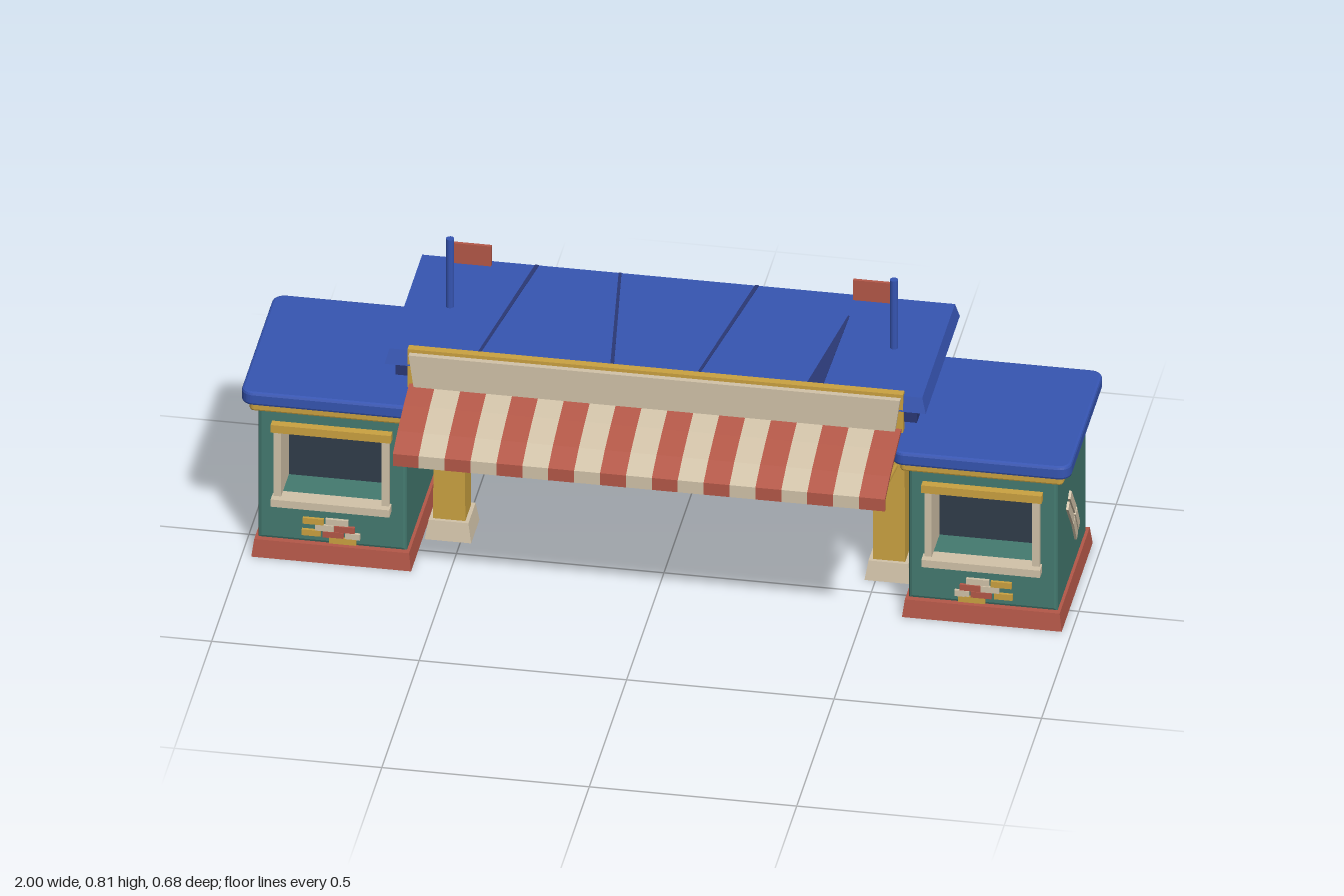
import * as THREE from 'three';

const mat = (name, color) => {
  const m = new THREE.MeshStandardMaterial({ color });
  m.name = name;
  return m;
};

export function createModel() {
  const blue = mat('roof blue', 0x3655b2);
  const navy = mat('dark navy', 0x2a3875);
  const teal = mat('teal wall', 0x447a70);
  const red = mat('brick red', 0xb45848);
  const gold = mat('ochre yellow', 0xcba241);
  const cream = mat('cream', 0xd2c3a9);
  const slate = mat('slate', 0x303d4a);

  const root = new THREE.Group();
  root.name = 'entranceGate';
  const add = (parent, name, geo, material, x = 0, y = 0, z = 0) => {
    const m = new THREE.Mesh(geo, material);
    m.name = name;
    m.position.set(x, y, z);
    parent.add(m);
    return m;
  };
  // box given by its limits
  const box = (parent, name, material, x0, x1, y0, y1, z0, z1) =>
    add(parent, name, new THREE.BoxGeometry(x1 - x0, y1 - y0, z1 - z0), material,
      (x0 + x1) / 2, (y0 + y1) / 2, (z0 + z1) / 2);
  // box whose top is narrower (or wider) by t on every side
  const taper = (w, h, d, tx, tz = tx) => {
    const g = new THREE.BoxGeometry(w, h, d);
    const p = g.attributes.position;
    for (let i = 0; i < p.count; i++) {
      if (p.getY(i) > 0) {
        p.setX(i, p.getX(i) - Math.sign(p.getX(i)) * tx);
        p.setZ(i, p.getZ(i) - Math.sign(p.getZ(i)) * tz);
      }
    }
    g.computeVertexNormals();
    return g;
  };
  // slab with rounded plan corners and soft rims
  const slab = (w, h, d, r, b) => {
    const s = new THREE.Shape();
    const x = w / 2, y = d / 2;
    s.absarc(x - r, y - r, r, 0, Math.PI / 2);
    s.absarc(-x + r, y - r, r, Math.PI / 2, Math.PI);
    s.absarc(-x + r, -y + r, r, Math.PI, Math.PI * 1.5);
    s.absarc(x - r, -y + r, r, Math.PI * 1.5, Math.PI * 2);
    const g = new THREE.ExtrudeGeometry(s, { depth: h - 2 * b, bevelSize: b, bevelThickness: b,
      bevelOffset: -b, bevelSegments: 2, curveSegments: 4 });
    return g.translate(0, 0, b - h / 2).rotateX(-Math.PI / 2);
  };
  const rectPoints = (x0, x1, y0, y1) => [[x0, y0], [x1, y0], [x1, y1], [x0, y1]]
    .map(([x, y]) => new THREE.Vector2(x, y));

  const midZ = -0.108;

  // ---- ticket booths, local x = 0 and z = 0 at the middle of each ----
  for (const side of [-1, 1]) {
    const booth = new THREE.Group();
    booth.name = side > 0 ? 'leftBooth' : 'rightBooth';
    booth.position.set(side * 0.784, 0, midZ);
    root.add(booth);

    add(booth, 'boothBase', taper(0.385, 0.046, 0.416, 0.006), red, 0, 0.023, 0);

    // walls with a window tunnel from front to back
    const wall = new THREE.Shape(rectPoints(-0.179, 0.179, 0.046, 0.412));
    wall.holes.push(new THREE.Path(rectPoints(-0.128, 0.128, 0.165, 0.352).reverse()));
    const body = new THREE.ExtrudeGeometry(wall, { depth: 0.37, bevelSize: 0.008, bevelThickness: 0.008,
      bevelOffset: -0.008, bevelSegments: 2 });
    add(booth, 'boothWalls', body, teal, 0, 0, -0.185);
    box(booth, 'darkInterior', slate, -0.127, 0.127, 0.166, 0.351, -0.09, 0.09);

    // window surrounds, front and back
    for (const f of [1, -1]) {
      const win = new THREE.Group();
      win.name = f > 0 ? 'frontWindow' : 'backWindow';
      win.rotation.y = f > 0 ? 0 : Math.PI;
      booth.add(win);
      for (const s of [-1, 1]) {
        const a = s * 0.13;
        box(win, 'windowJamb', cream, a - 0.009, a + 0.009, 0.165, 0.356, 0.18, 0.206);
        box(win, 'windowReveal', cream, s * 0.126 - 0.003, s * 0.126 + 0.003, 0.166, 0.351, 0.088, 0.19);
      }
      box(win, 'windowLintel', gold, -0.145, 0.145, 0.352, 0.373, 0.18, 0.214);
      box(win, 'windowSill', cream, -0.143, 0.143, 0.153, 0.173, 0.18, 0.224);
    }

    // cornice and roof
    add(booth, 'cornice', slab(0.394, 0.024, 0.43, 0.012, 0.005), gold, 0, 0.42, 0);
    add(booth, 'boothRoof', slab(0.432, 0.036, 0.46, 0.03, 0.007), blue, 0, 0.449, 0);

    // exposed bricks below the front window: x, y, width, material
    [[-0.045, 0.108, 0.05, gold], [0.012, 0.11, 0.055, cream], [-0.018, 0.092, 0.045, cream],
      [0.03, 0.092, 0.05, red], [-0.05, 0.076, 0.045, gold], [0.003, 0.075, 0.05, red],
      [0.05, 0.075, 0.035, cream], [0.026, 0.06, 0.065, gold]].forEach(([x, y, w, m]) =>
      add(booth, 'exposedBrick', new THREE.BoxGeometry(w, 0.016, 0.009), m, -side * x, y, 0.196));

    // exposed boards on the outer wall: z, y, length, tilt
    const patch = new THREE.Group();
    patch.name = 'exposedBoards';
    patch.rotation.y = side > 0 ? 0 : Math.PI;
    booth.add(patch);
    [[0.035, 0.226, 0.103, 0.7], [0.009, 0.241, 0.1, 0.7],
      [-0.025, 0.149, 0.082, 0.56], [-0.052, 0.16, 0.078, 0.56]].forEach(([z, y, l, a]) => {
      const b = add(patch, 'board', new THREE.BoxGeometry(0.008, l, 0.021), cream, 0.181, y, z);
      b.rotation.x = a;
    });
  }

  // ---- columns, flags and awning arms on both sides ----
  for (const s of [-1, 1]) {
    add(root, 'columnBase', taper(0.112, 0.05, 0.112, 0.008), cream, s * 0.53, 0.025, midZ);
    add(root, 'column', taper(0.078, 0.48, 0.078, 0.003), gold, s * 0.53, 0.286, midZ);
    add(root, 'columnCapital', taper(0.088, 0.022, 0.088, -0.009), cream, s * 0.53, 0.534, midZ);

    add(root, 'flagPole', new THREE.CylinderGeometry(0.01, 0.01, 0.2, 10), blue, s * 0.535, 0.705, midZ);
    const a = s * 0.436, b = s * 0.528;
    box(root, 'flag', red, Math.min(a, b), Math.max(a, b), 0.737, 0.792, midZ - 0.009, midZ - 0.001);

    const arm = new THREE.LineCurve3(new THREE.Vector3(s * 0.575, 0.415, 0.1),
      new THREE.Vector3(s * 0.575, 0.46, 0.322));
    add(root, 'awningArm', new THREE.TubeGeometry(arm, 1, 0.007, 6), gold);
  }

  // ---- main roof over the passage ----
  box(root, 'roofUnderside', navy, -0.628, 0.628, 0.543, 0.582, -0.32, 0.103);
  add(root, 'mainRoof', taper(1.304, 0.038, 0.458, 0.01), blue, 0, 0.598, -0.111);
  // slanted seams as thin plates: back x, front x, back width, front width, back z
  [[-0.365, -0.43, 0.01, 0.007, -0.33], [-0.165, -0.108, 0.007, 0.009, -0.33],
    [0.165, 0.099, 0.01, 0.007, -0.33], [0.404, 0.38, 0.004, 0.04, -0.23]].forEach(([xb, xf, wb, wf, zb]) => {
    const seam = new THREE.Shape([[xb - wb / 2, -zb], [xf - wf / 2, -0.095], [xf + wf / 2, -0.095],
      [xb + wb / 2, -zb]].map(([x, y]) => new THREE.Vector2(x, y)));
    const g = new THREE.ExtrudeGeometry(seam, { depth: 0.002, bevelEnabled: false });
    add(root, 'roofSeam', g.rotateX(-Math.PI / 2), navy, 0, 0.6165, 0);
  });

  // ---- fascia board with frame ----
  box(root, 'fasciaFrame', gold, -0.597, 0.597, 0.52, 0.625, 0.097, 0.117);
  add(root, 'fasciaBoard', taper(1.16, 0.086, 0.03, -0.012, 0), cream, 0, 0.573, 0.116);

  // ---- striped awning with hanging edge ----
  const profile = [[0.112, 0.532], [0.19, 0.514], [0.272, 0.491], [0.336, 0.465], [0.336, 0.432],
    [0.328, 0.432], [0.328, 0.459], [0.27, 0.482], [0.188, 0.505], [0.112, 0.523]];
  const awningShape = new THREE.Shape(profile.map(([z, y]) => new THREE.Vector2(-z, y)));
  const count = 19, stripe = 1.186 / count;
  const stripeGeo = new THREE.ExtrudeGeometry(awningShape, { depth: stripe, bevelEnabled: false });
  stripeGeo.rotateY(Math.PI / 2);
  for (let i = 0; i < count; i++) {
    add(root, 'awningStripe', stripeGeo, i % 2 ? cream : red, -0.593 + i * stripe, 0, 0);
  }
  box(root, 'awningFrontBar', gold, -0.585, 0.585, 0.452, 0.465, 0.315, 0.328);
  box(root, 'awningBackBar', gold, -0.585, 0.585, 0.512, 0.524, 0.1, 0.116);

  return root;
}
